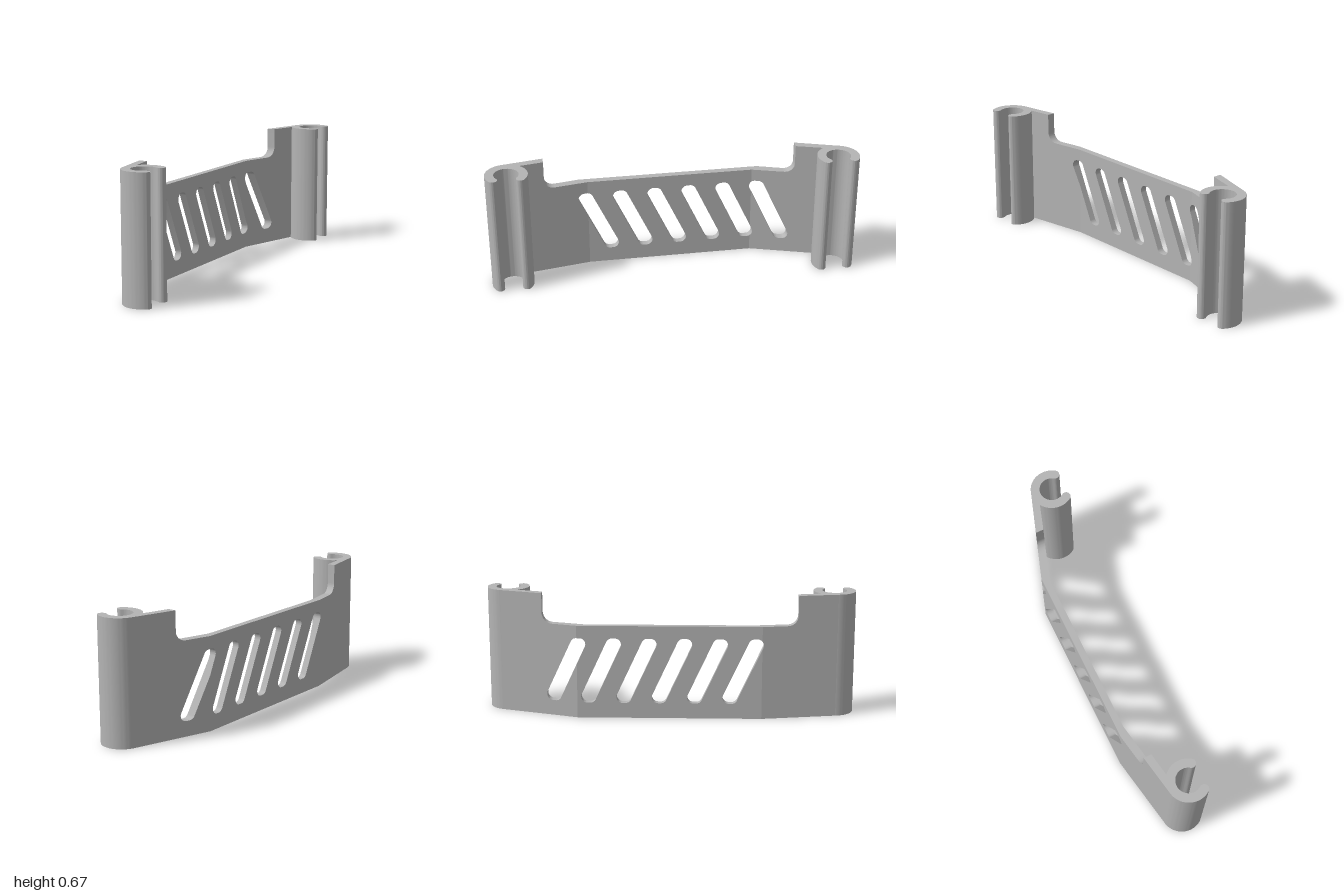
import * as THREE from 'three';
import { toCreasedNormals } from 'three/addons/utils/BufferGeometryUtils.js';

const HEIGHT = 0.67;
const CREASE = 0.15;

// Closed outline through [x, y, radius] corners, each rounded by its radius
function roundedOutline(path, corners) {
  const n = corners.length;
  corners.forEach(([x, y, r = 0], i) => {
    const p = new THREE.Vector2(x, y);
    const toPrev = new THREE.Vector2(...corners[(i + n - 1) % n].slice(0, 2)).sub(p).normalize();
    const toNext = new THREE.Vector2(...corners[(i + 1) % n].slice(0, 2)).sub(p).normalize();
    const turn = Math.PI - Math.acos(toPrev.dot(toNext));
    const reach = r * Math.tan(turn / 2);
    const handle = reach - r * (4 / 3) * Math.tan(turn / 4);
    const at = (dir, d) => p.clone().addScaledVector(dir, d);
    const a = at(toPrev, reach), b = at(toNext, reach);
    if (i === 0) path.moveTo(a.x, a.y); else path.lineTo(a.x, a.y);
    if (r > 0) {
      const c = at(toPrev, handle), d = at(toNext, handle);
      path.bezierCurveTo(c.x, c.y, d.x, d.y, b.x, b.y);
    }
  });
  path.closePath();
  return path;
}

// Cut every triangle along the plane z = c, so the plate can fold there
function splitAtZ(triangles, c) {
  const out = [];
  for (const tri of triangles) {
    for (const side of [1, -1]) {
      const poly = [];
      tri.forEach((p, i) => {
        const q = tri[(i + 1) % 3];
        const dp = (p.z - c) * side, dq = (q.z - c) * side;
        if (dp >= 0) poly.push(p);
        if (dp * dq < 0) {
          // interpolate in a fixed order so neighbouring cuts match exactly
          const [lo, hi] = p.z < q.z ? [p, q] : [q, p];
          const v = lo.clone().lerp(hi, (c - lo.z) / (hi.z - lo.z));
          v.z = c;
          poly.push(v);
        }
      });
      if (!poly.some((p) => (p.z - c) * side > 0)) continue;
      for (let i = 1; i + 1 < poly.length; i++) out.push([poly[0], poly[i], poly[i + 1]]);
    }
  }
  return out;
}

// Plan of the folded plate: x of its outer and inner faces at a given z
const outerX = (z) => -0.164 + 0.33 * Math.max(0, -z - 0.495) + 0.178 * Math.max(0, z - 0.495);
const innerX = (z) => -0.127 + 0.312 * Math.max(0, -z - 0.46) + 0.17 * Math.max(0, z - 0.45);

function plateGeometry() {
  // Side elevation, drawn with horizontal axis = -z
  const shape = roundedOutline(new THREE.Shape(), [
    [-0.906, 0], [0.921, 0], [0.921, HEIGHT], [0.685, HEIGHT],
    [0.685, 0.508, 0.055], [-0.685, 0.508, 0.055], [-0.685, HEIGHT], [-0.906, HEIGHT],
  ]);
  // Six slanted slots
  for (let i = 0; i < 6; i++) {
    const s = -0.521 + i * 0.19;
    shape.holes.push(roundedOutline(new THREE.Path(), [
      [s, 0.44, 0.033], [s + 0.166, 0.083, 0.033], [s + 0.254, 0.083, 0.033], [s + 0.088, 0.44, 0.033],
    ]));
  }
  const flat = new THREE.ExtrudeGeometry(shape, { depth: 1, bevelEnabled: false, curveSegments: 18 });
  flat.rotateY(Math.PI / 2);

  const src = flat.index ? flat.toNonIndexed() : flat;
  const pos = src.attributes.position;
  let triangles = [];
  for (let i = 0; i < pos.count; i += 3) {
    triangles.push([0, 1, 2].map((k) => new THREE.Vector3().fromBufferAttribute(pos, i + k)));
  }
  for (const c of [-0.495, -0.46, 0.45, 0.495]) triangles = splitAtZ(triangles, c);

  // Fold: x runs 0..1 through the thickness, from outer to inner face
  const folded = triangles.flat().map((p) =>
    new THREE.Vector3(THREE.MathUtils.lerp(outerX(p.z), innerX(p.z), p.x), p.y, p.z));
  return toCreasedNormals(new THREE.BufferGeometry().setFromPoints(folded), CREASE);
}

// C-shaped clip with rounded lips, open towards +x
function clipGeometry() {
  const R = 0.114, r = 0.066, mid = (R + r) / 2, lip = (R - r) / 2;
  const a = THREE.MathUtils.degToRad(54);
  const shape = new THREE.Shape();
  shape.absarc(0, 0, R, a, 2 * Math.PI - a, false);
  shape.absarc(mid * Math.cos(a), -mid * Math.sin(a), lip, -a, Math.PI - a, false);
  shape.absarc(0, 0, r, 2 * Math.PI - a, a, true);
  shape.absarc(mid * Math.cos(a), mid * Math.sin(a), lip, a + Math.PI, a + 2 * Math.PI, false);
  const geo = new THREE.ExtrudeGeometry(shape, { depth: HEIGHT, bevelEnabled: false, curveSegments: 30 });
  geo.rotateX(-Math.PI / 2);
  return toCreasedNormals(geo, 0.3);
}

export function createModel() {
  const grey = new THREE.MeshStandardMaterial({ color: 0xb4b4b4 });
  grey.name = 'grey';
  const model = new THREE.Group();
  model.name = 'clipBracket';

  const add = (name, geometry, x = 0, z = 0) => {
    const mesh = new THREE.Mesh(geometry, grey);
    mesh.name = name;
    mesh.position.set(x, 0, z);
    model.add(mesh);
  };

  add('slottedPlate', plateGeometry());
  const clip = clipGeometry();
  add('frontClip', clip, 0.021, 0.886);
  add('backClip', clip, 0.085, -0.886);
  return model;
}
